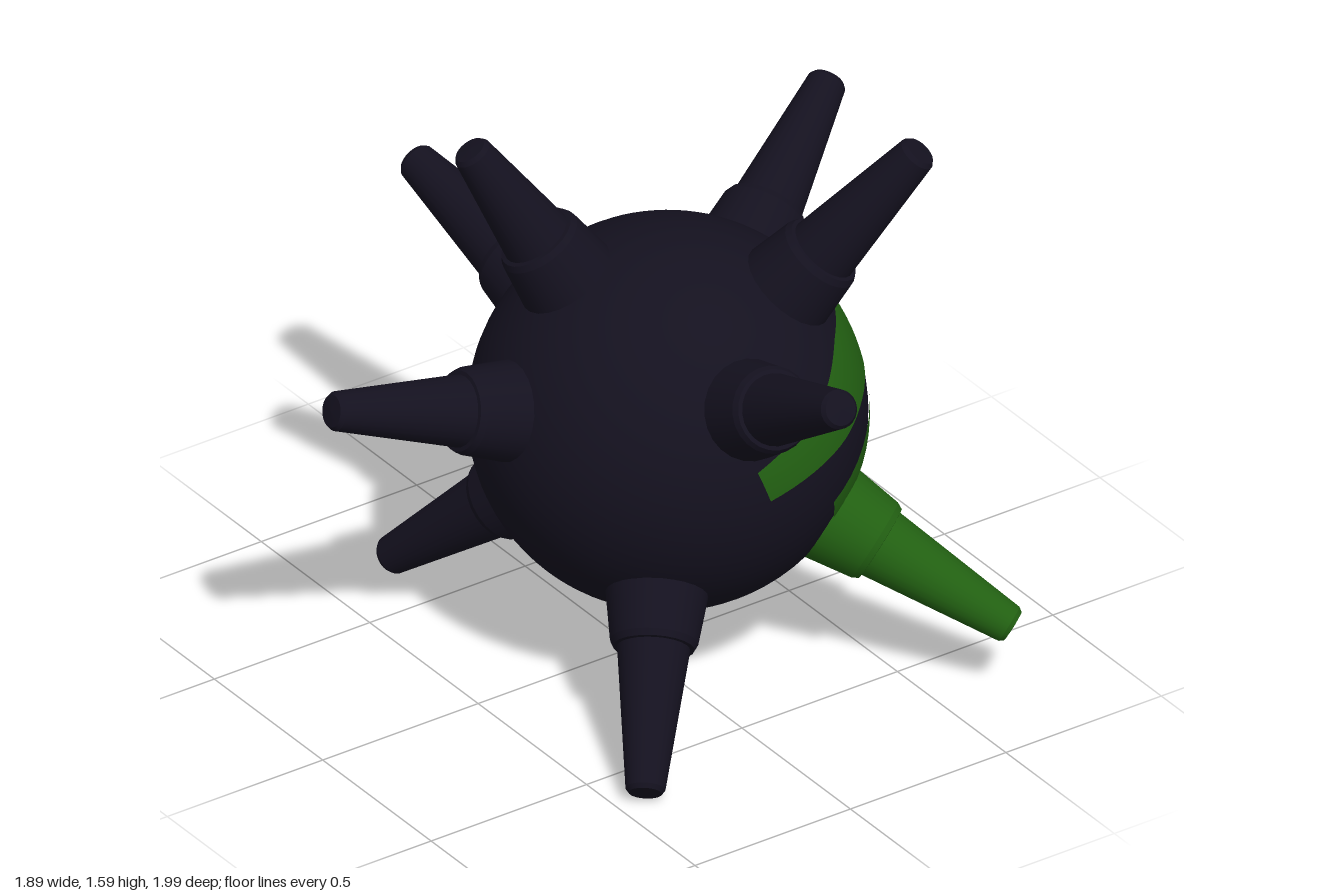
import * as THREE from 'three';

const CENTER = new THREE.Vector3(0.085, 0.725, 0.035);
const R = 0.53;
const UP = new THREE.Vector3(0, 1, 0);

const dark = new THREE.MeshStandardMaterial({ color: 0x14111f });
const green = new THREE.MeshStandardMaterial({ color: 0x226012 });
const brown = new THREE.MeshStandardMaterial({ color: 0x57402a });

// Lathe from [radius, height] pairs; doubled points keep an edge crisp
function lathe(points) {
  return new THREE.LatheGeometry(points.map(([r, y]) => new THREE.Vector2(r, y)), 24);
}

// Tapered spike with collar, pointing from the ball's centre to the tip
function makeSpike(name, tip, material) {
  const dir = new THREE.Vector3(...tip).sub(CENTER);
  const length = dir.length();
  const spike = new THREE.Group();
  spike.name = name;

  const collar = new THREE.Mesh(lathe([
    [0.143, 0.46], [0.135, 0.52], [0.117, 0.645], [0.117, 0.645],
    [0.108, 0.662], [0.108, 0.662], [0.08, 0.665],
  ]), material);
  collar.name = 'collar';

  const shaft = new THREE.Mesh(lathe([
    [0.104, 0.6], [0.053, length - 0.012], [0.053, length - 0.012],
    [0.044, length], [0.044, length], [0, length + 0.003],
  ]), material);
  shaft.name = 'shaft';

  spike.add(collar, shaft);
  spike.position.copy(CENTER);
  spike.quaternion.setFromUnitVectors(UP, dir.normalize());
  return spike;
}

// Painted stroke hugging the ball; points are [longitude from +x toward +z, height, half width]
function makeStroke(name, points, material, lift) {
  const dirs = points.map(([lon, y]) => {
    const h = (y - CENTER.y) / R;
    const rho = Math.sqrt(1 - h * h);
    const a = THREE.MathUtils.degToRad(lon);
    return new THREE.Vector3(rho * Math.cos(a), h, rho * Math.sin(a));
  });
  const curve = new THREE.CatmullRomCurve3(dirs);
  const along = 48, across = 8;
  const position = [], normal = [], index = [];
  for (let i = 0; i <= along; i++) {
    const t = i / along;
    const p = curve.getPoint(t).normalize();
    const side = new THREE.Vector3().crossVectors(p, curve.getTangent(t)).normalize();
    const s = t * (points.length - 1);
    const k = Math.min(Math.floor(s), points.length - 2);
    const half = THREE.MathUtils.lerp(points[k][2], points[k + 1][2], s - k) / R;
    for (let j = 0; j <= across; j++) {
      const n = p.clone().addScaledVector(side, half * (2 * j / across - 1)).normalize();
      const v = n.clone().multiplyScalar(R + lift).add(CENTER);
      position.push(v.x, v.y, v.z);
      normal.push(n.x, n.y, n.z);
      if (i < along && j < across) {
        const a = i * (across + 1) + j, b = a + across + 1;
        index.push(a, b, a + 1, b, b + 1, a + 1);
      }
    }
  }
  const geometry = new THREE.BufferGeometry();
  geometry.setAttribute('position', new THREE.Float32BufferAttribute(position, 3));
  geometry.setAttribute('normal', new THREE.Float32BufferAttribute(normal, 3));
  geometry.setIndex(index);
  const mesh = new THREE.Mesh(geometry, material);
  mesh.name = name;
  return mesh;
}

export function createModel() {
  const model = new THREE.Group();
  model.name = 'spikedBall';

  // Round body
  const ball = new THREE.Mesh(new THREE.SphereGeometry(R, 64, 48), dark);
  ball.name = 'ball';
  ball.position.copy(CENTER);
  model.add(ball);

  // Ten spikes, placed by their tips
  const spikes = [
    ['upperRightSpike', [-0.38, 1.57, -0.21]],
    ['upperLeftSpike', [0.60, 1.56, 0.46]],
    ['leftSpike', [0.92, 1.23, -0.42]],
    ['rightSpike', [-0.93, 1.03, -0.06]],
    ['frontSpike', [-0.01, 1.23, 0.97]],
    ['backSpike', [-0.02, 1.03, -0.985]],
    ['lowerFrontRightSpike', [-0.43, 0.04, 0.67]],
    ['lowerBackRightSpike', [-0.30, 0.04, -0.70]],
    ['lowerBackLeftSpike', [0.81, 0.04, -0.35]],
    ['lowerFrontLeftSpike', [0.69, 0.21, 0.76], green],
  ];
  for (const [name, tip, material = dark] of spikes) model.add(makeSpike(name, tip, material));

  // Painted markings on the left side
  model.add(
    makeStroke('brownPatch', [[-3, 0.82, 0.05], [-4, 0.72, 0.1], [-4, 0.55, 0.12],
      [-4, 0.4, 0.11], [-4, 0.26, 0.05]], brown, 0.002),
    makeStroke('brownStreak', [[92, 0.225, 0.015], [75, 0.26, 0.025], [60, 0.32, 0.015]], brown, 0.002),
    makeStroke('greenBand', [[96, 0.77, 0.05], [65, 0.86, 0.08], [45, 0.92, 0.1], [20, 0.935, 0.1],
      [0, 0.93, 0.1], [-16, 0.87, 0.05], [-46, 0.75, 0.025]], green, 0.003),
    makeStroke('greenLoop', [[66, 0.58, 0.04], [36, 0.71, 0.045], [18, 0.76, 0.04], [11, 0.68, 0.03],
      [16, 0.55, 0.03], [2, 0.5, 0.03], [-17, 0.46, 0.04], [-35, 0.42, 0.06]], green, 0.004),
    makeStroke('greenDiagonal', [[40, 0.62, 0.03], [24, 0.44, 0.04], [8, 0.31, 0.045],
      [-35, 0.23, 0.03]], green, 0.0035),
  );
  return model;
}
